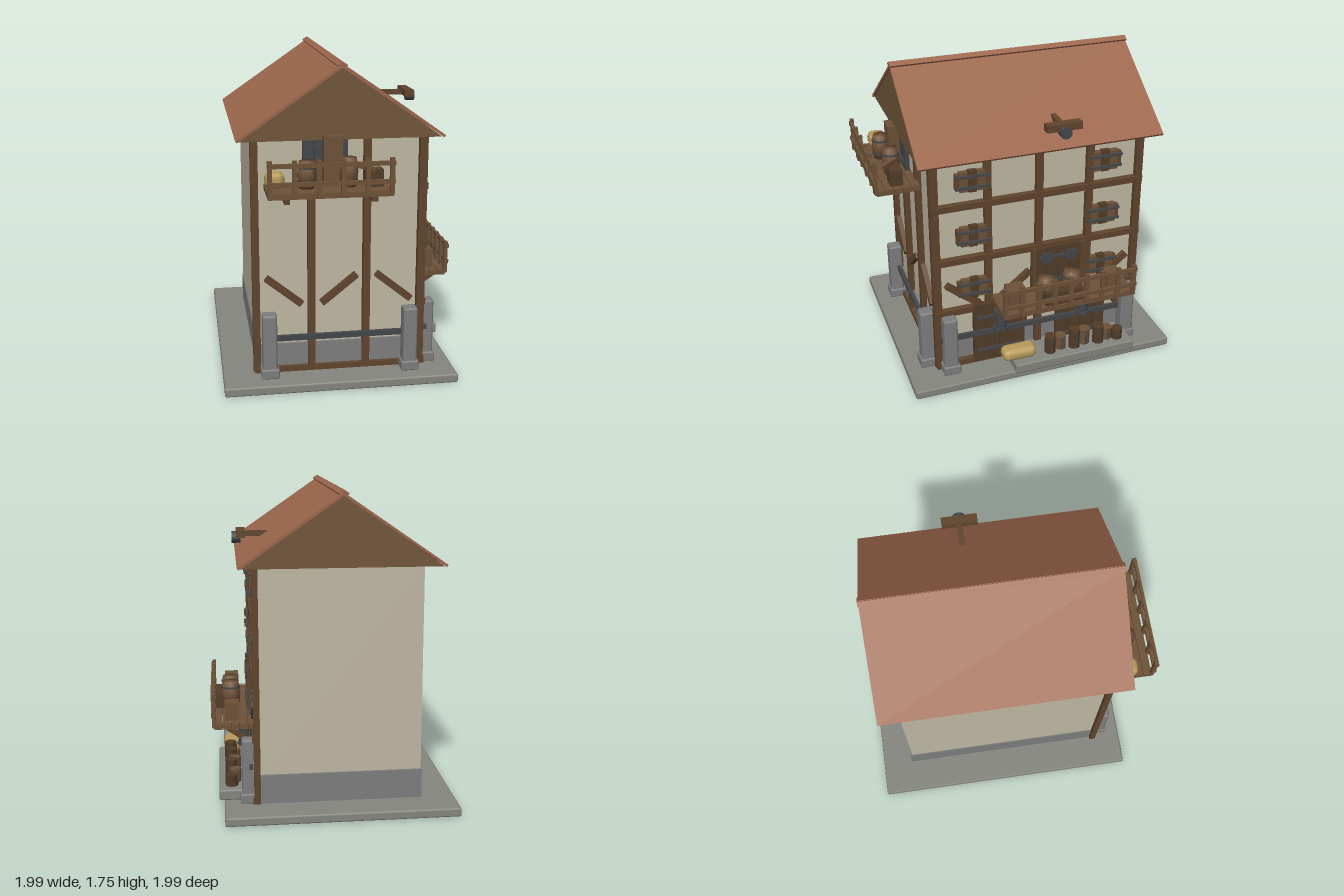
import * as THREE from 'three';
import { RoundedBoxGeometry } from 'three/addons/geometries/RoundedBoxGeometry.js';

const mat = (name, color, extra = {}) => {
  const m = new THREE.MeshStandardMaterial({ color, ...extra });
  m.name = name;
  return m;
};

export function createModel() {
  const M = {
    plaster: mat('plaster', 0xc0b8a4),
    tile: mat('roofTile', 0x9c664c),
    gable: mat('gableWood', 0x715639),
    timber: mat('timber', 0x60452d),
    plank: mat('plank', 0x6e5238),
    darkWood: mat('darkWood', 0x523d28),
    stone: mat('stone', 0x868680),
    pillar: mat('pillarStone', 0x7e7e7e),
    iron: mat('iron', 0x44474a),
    straw: mat('strawSack', 0xb99c5c),
  };
  const root = new THREE.Group();
  root.name = 'warehouse';
  // Local frame: long facade faces +z, gable balcony faces -x; turned 45 degrees
  const house = new THREE.Group();
  house.name = 'house';
  house.rotation.y = Math.PI / 4;
  root.add(house);

  const add = (parent, name, geo, m, x, y, z) => {
    const mesh = new THREE.Mesh(geo, m);
    mesh.name = name;
    mesh.position.set(x, y, z);
    parent.add(mesh);
    return mesh;
  };
  const box = (p, name, m, w, h, d, x, y, z) => add(p, name, new THREE.BoxGeometry(w, h, d), m, x, y, z);
  const bevel = (p, name, m, w, h, d, x, y, z, r = 0.01) =>
    add(p, name, new RoundedBoxGeometry(w, h, d, 1, r), m, x, y, z);
  const group = (name, parent = house) => {
    const g = new THREE.Group();
    g.name = name;
    parent.add(g);
    return g;
  };

  // Ground slab, plinth and walls
  bevel(house, 'groundSlab', M.stone, 1.556, 0.05, 1.273, 0, 0.025, 0);
  bevel(house, 'stoop', M.stone, 0.73, 0.06, 0.22, 0.165, 0.08, 0.555);
  box(house, 'plinth', M.pillar, 1.19, 0.165, 0.9, 0, 0.13, 0);
  box(house, 'walls', M.plaster, 1.165, 1.2, 0.89, 0, 0.76, 0);

  // Roof: wooden gable prism with two tiled slopes and a ridge
  const roof = group('roof');
  const tri = new THREE.Shape([[-0.53, 0], [0.53, 0], [0, 0.37]].map(p => new THREE.Vector2(...p)));
  const prism = new THREE.ExtrudeGeometry(tri, { depth: 1.35, bevelEnabled: false });
  prism.translate(0, 0, -0.675).rotateY(Math.PI / 2);
  add(roof, 'gables', prism, M.gable, 0, 1.355, 0);
  const slope = Math.atan2(0.375, 0.545);
  for (const s of [-1, 1]) {
    const r = box(roof, 'roofSlope', M.tile, 1.372, 0.014, 0.66, 0, 1.545, s * 0.2715);
    r.rotation.x = s * slope;
    const cap = box(roof, 'ridgeCap', M.tile, 1.38, 0.012, 0.03, 0, 1.74, s * 0.012);
    cap.rotation.x = s * slope;
  }

  // Hoist on the roof
  const hoist = group('roofHoist');
  box(hoist, 'hoistBeam', M.timber, 0.2, 0.04, 0.05, 0.11, 1.48, 0.515);
  const wheel = add(hoist, 'hoistWheel', new THREE.CylinderGeometry(0.033, 0.033, 0.05, 10), M.iron, 0.11, 1.455, 0.54);
  wheel.rotation.x = Math.PI / 2;
  box(hoist, 'hoistArm', M.timber, 0.03, 0.03, 0.17, 0.11, 1.475, 0.42);

  // Timber frame
  const frame = group('timberFrame');
  for (const x of [-0.59, -0.295, 0, 0.295, 0.59])
    box(frame, 'frontPost', M.timber, 0.04, 1.3, 0.035, x, 0.71, 0.458);
  for (const y of [0.07, 0.42, 0.745, 1.075])
    box(frame, 'frontBeam', M.timber, 1.22, 0.035, 0.04, 0, y, 0.462);
  for (const z of [-0.45, -0.15, 0.15, 0.45])
    box(frame, 'gablePost', M.timber, 0.035, 1.3, 0.04, -0.598, 0.71, z);
  box(frame, 'gableSill', M.timber, 0.035, 0.03, 0.92, -0.6, 0.07, 0);
  [-0.445, -0.148, 0.148, 0.445].forEach((x, i) => {
    const b = box(frame, 'frontBrace', M.timber, 0.245, 0.035, 0.03, x, 0.52, 0.465);
    b.rotation.z = (i % 2 ? 1 : -1) * 0.68;
  });
  [-0.3, 0, 0.3].forEach((z, i) => {
    const b = box(frame, 'gableBrace', M.timber, 0.03, 0.035, 0.245, -0.605, 0.52, z);
    b.rotation.x = (i % 2 ? -1 : 1) * 0.68;
  });

  // Stone buttresses and the iron rails tying them together
  for (const [x, z] of [[-0.54, 0.5], [0.54, 0.5], [-0.645, -0.385], [-0.645, 0.385]]) {
    const g = group('buttress');
    bevel(g, 'buttressShaft', M.pillar, 0.08, 0.36, 0.08, x, 0.23, z, 0.012);
    bevel(g, 'buttressFoot', M.pillar, 0.1, 0.055, 0.1, x, 0.077, z, 0.008);
  }
  box(house, 'frontIronRail', M.iron, 1.18, 0.03, 0.02, 0, 0.26, 0.49);
  box(house, 'gableIronRail', M.iron, 0.02, 0.03, 0.84, -0.63, 0.26, 0);

  // Barred shutters
  for (const x of [-0.38, 0.38]) for (const y of [0.56, 0.89, 1.22]) {
    const g = group('shutter');
    g.position.set(x, y, 0.465);
    for (const i of [-1, 0, 1])
      box(g, 'shutterPlank', i ? M.plank : M.darkWood, 0.046, i ? 0.115 : 0.125, 0.03, i * 0.05, 0, 0);
    for (const s of [-1, 1]) {
      box(g, 'shutterBar', M.iron, 0.19, 0.014, 0.014, 0, s * 0.032, 0.02);
      box(g, 'shutterEdge', M.timber, 0.02, 0.09, 0.03, s * 0.085, 0, -0.004);
    }
  }

  // Plank door with iron straps, facing +z, standing on y = 0
  const door = (name, parent, w, h, planks, wood) => {
    const g = group(name, parent);
    const pw = w / planks;
    for (let i = 0; i < planks; i++)
      box(g, 'doorPlank', wood, pw * 0.93, h, 0.025, (i + 0.5) * pw - w / 2, h / 2, 0);
    for (const t of [0.2, 0.78])
      box(g, 'doorStrap', M.iron, w * 0.85, 0.018, 0.012, 0, h * t, 0.017);
    return g;
  };
  for (const x of [-0.24, 0.26]) {
    door('groundDoor', house, 0.31, 0.38, 4, M.darkWood).position.set(x, 0.06, 0.472);
    const lamp = group('lantern');
    lamp.position.set(x, 0.345, 0.515);
    add(lamp, 'lanternBody', new THREE.CylinderGeometry(0.035, 0.035, 0.11, 8), M.iron, 0, 0, 0);
    for (const s of [-1, 1])
      add(lamp, 'lanternRim', new THREE.CylinderGeometry(0.044, 0.044, 0.014, 8), M.iron, 0, s * 0.055, 0);
    box(lamp, 'lanternHook', M.iron, 0.015, 0.03, 0.05, 0, 0.07, -0.015);
    box(lamp, 'lanternDrop', M.iron, 0.02, 0.03, 0.02, 0, -0.07, 0);
  }

  const barrel = (p, r, h, x, y, z) => {
    const g = group('barrel', p);
    g.position.set(x, y, z);
    const pts = [[0, 0], [r * 0.82, 0], [r, h * 0.5], [r * 0.82, h], [0, h]].map(a => new THREE.Vector2(...a));
    add(g, 'barrelBody', new THREE.LatheGeometry(pts, 12), M.plank, 0, 0, 0);
    for (const t of [0.22, 0.78])
      add(g, 'barrelHoop', new THREE.CylinderGeometry(r * 0.97, r * 0.97, 0.01, 12), M.iron, 0, h * t, 0);
  };
  // Balcony facing +z: deck boards, outer railing and supports
  const balcony = (name, len, depth, posts) => {
    const g = group(name);
    for (let i = 0; i < 5; i++)
      box(g, 'deckBoard', M.plank, len, 0.03, depth / 5 - 0.003, 0, 0.015, (i + 0.5) * depth / 5);
    for (let i = 0; i < posts; i++)
      box(g, 'railPost', M.plank, 0.024, 0.19, 0.02, (i / (posts - 1) - 0.5) * (len - 0.02), 0.105, depth);
    for (const y of [0.08, 0.175])
      box(g, 'handRail', M.plank, len + 0.01, 0.022, 0.016, 0, y, depth + 0.008);
    for (const s of [-1, 1])
      box(g, 'deckBearer', M.timber, 0.03, 0.025, depth, s * len * 0.35, -0.012, depth / 2);
    return g;
  };

  // Front balcony with its door and goods
  const front = balcony('frontBalcony', 0.78, 0.23, 9);
  front.position.set(0.11, 0.45, 0.455);
  const upper = door('frontBalconyDoor', front, 0.28, 0.26, 4, M.darkWood);
  upper.position.set(0, 0.03, 0.025);
  for (const s of [-1, 1]) {
    box(upper, 'doorIronPlate', M.iron, 0.06, 0.06, 0.01, s * 0.07, 0.2, 0.02);
    box(upper, 'doorFrame', M.timber, 0.025, 0.27, 0.035, s * 0.145, 0.13, 0);
  }
  barrel(front, 0.052, 0.14, -0.11, 0.03, 0.135);
  barrel(front, 0.056, 0.15, 0.045, 0.03, 0.135);
  box(front, 'crate', M.plank, 0.1, 0.11, 0.08, -0.29, 0.085, 0.125);
  box(front, 'crate', M.plank, 0.08, 0.1, 0.08, 0.29, 0.08, 0.13);
  box(front, 'crate', M.darkWood, 0.22, 0.08, 0.06, -0.03, 0.07, 0.19);
  for (const s of [-1, 1]) {
    const b = box(front, 'balconyStrut', M.timber, 0.03, 0.025, 0.22, s * 0.36, -0.05, 0.08);
    b.rotation.x = -0.6;
  }

  // Gable balcony with its door and goods
  const side = balcony('gableBalcony', 0.64, 0.24, 6);
  side.position.set(-0.605, 1.09, -0.08);
  side.rotation.y = -Math.PI / 2;
  const high = door('gableBalconyDoor', side, 0.24, 0.25, 4, M.iron);
  high.position.set(0, 0.03, 0.02);
  box(side, 'hoistCupboard', M.plank, 0.1, 0.26, 0.06, 0.03, 0.16, 0.08);
  barrel(side, 0.05, 0.14, -0.11, 0.03, 0.12);
  barrel(side, 0.05, 0.15, 0.11, 0.03, 0.11);
  box(side, 'crate', M.darkWood, 0.09, 0.09, 0.07, 0.24, 0.075, 0.12);
  const loosePlank = box(side, 'loosePlank', M.plank, 0.02, 0.02, 0.12, 0.2, 0.13, 0.14);
  loosePlank.rotation.y = 0.7;
  bevel(side, 'sack', M.straw, 0.1, 0.085, 0.1, -0.275, 0.075, 0.11, 0.03);

  // Goods on the stoop
  const goods = group('stoopGoods');
  add(goods, 'sack', new RoundedBoxGeometry(0.2, 0.075, 0.1, 3, 0.034), M.straw, -0.16, 0.15, 0.585);
  [[0.03, 0.11], [0.1, 0.085], [0.18, 0.12], [0.25, 0.095], [0.33, 0.11], [0.39, 0.075], [0.45, 0.065]].forEach(([x, h], i) => {
    add(goods, 'cask', new THREE.CylinderGeometry(0.034, 0.034, h, 8), i % 2 ? M.plank : M.darkWood, x, 0.11 + h / 2, 0.595 - (i % 2) * 0.02);
    box(goods, 'caskBand', M.iron, 0.01, h * 0.95, 0.07, x, 0.11 + h / 2, 0.595 - (i % 2) * 0.02);
  });
  return root;
}
